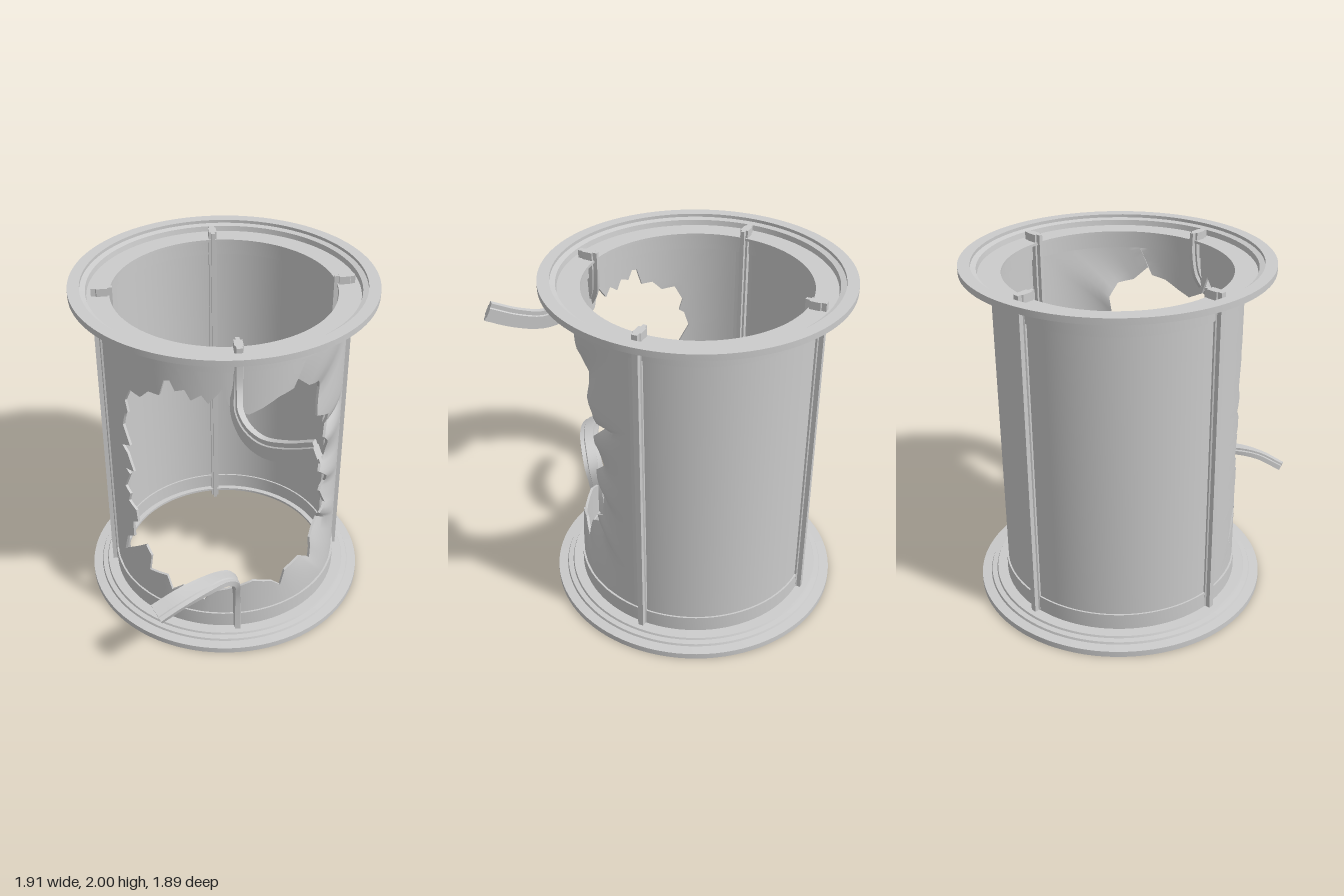
import * as THREE from 'three';
import { toCreasedNormals } from 'three/addons/utils/BufferGeometryUtils.js';

const material = new THREE.MeshStandardMaterial({ color: 0xcccccc, side: THREE.DoubleSide });
const AXIS = -0.11; // the drum axis sits at x = z = AXIS
const R = 0.68, WALL = 0.015;
const rad = THREE.MathUtils.degToRad;

function part(geometry, name, crease = 0.5) {
  const mesh = new THREE.Mesh(toCreasedNormals(geometry, crease), material);
  mesh.name = name;
  return mesh;
}

// Closed [radius, y] profile turned around the axis
function ring(profile, name, start = 0, sweepAngle = Math.PI * 2, segments = 96) {
  const pts = [...profile, profile[0]].map(([r, y]) => new THREE.Vector2(r, y));
  return part(new THREE.LatheGeometry(pts, segments, start, sweepAngle), name);
}

// Surface from a grid of points; columns may wrap round
function gridGeometry(rows, extra = []) {
  const n = rows[0].length, pos = [], idx = [...extra];
  rows.flat().forEach(p => pos.push(p.x, p.y, p.z));
  for (let j = 0; j < rows.length - 1; j++) {
    for (let i = 0; i < n; i++) {
      const a = j * n + i, b = j * n + (i + 1) % n;
      idx.push(a, a + n, b, b, a + n, b + n);
    }
  }
  const g = new THREE.BufferGeometry();
  g.setAttribute('position', new THREE.Float32BufferAttribute(pos, 3));
  g.setIndex(idx);
  return g;
}

// Rib section: [radial, tangential], with a thin web on the inside
const HALF = [[-0.055, 0.011], [-0.03, 0.011], [-0.03, 0.023], [0.03, 0.023], [0.035, 0.016], [0.06, 0.016]];
const SECTION = [...HALF, ...HALF.map(([u, v]) => [u, -v]).reverse()];

// Sweep the rib section along a path, with its wide direction given at each path point
function bar(path, wides, steps, name) {
  const curve = new THREE.CatmullRomCurve3(path);
  const wideCurve = new THREE.CatmullRomCurve3(wides);
  const rows = [];
  for (let s = 0; s <= steps; s++) {
    const c = curve.getPoint(s / steps), t = curve.getTangent(s / steps);
    const w = wideCurve.getPoint(s / steps).addScaledVector(t, -wideCurve.getPoint(s / steps).dot(t)).normalize();
    const v = new THREE.Vector3().crossVectors(t, w);
    const loop = SECTION.map(([a, b]) => c.clone().addScaledVector(w, a).addScaledVector(v, b));
    const centre = SECTION.map(() => c.clone());
    if (s === 0) rows.push(centre);
    rows.push(loop);
    if (s === steps) rows.push(centre);
  }
  return part(gridGeometry(rows), name, 0.6);
}

// Jagged outline of the hole, clockwise: [degrees from +z towards +x, height]
const HOLE = [
  [-26, .27], [-19, .5], [-12.7, .54], [-12.7, .65], [-8.5, .68], [-9.3, .76], [-15.4, .79], [-13.6, .85],
  [-18, .88], [-12.7, 1], [-16, 1.02], [-9.3, 1.04], [-13.6, 1.14], [-18, 1.17], [-11, 1.21], [-16, 1.32],
  [-13.6, 1.41], [-11, 1.43], [-12.7, 1.5], [-8.5, 1.59], [-1.7, 1.58], [3.4, 1.64], [9.3, 1.64], [11.9, 1.74],
  [16.2, 1.75], [17.1, 1.69], [21.6, 1.71], [24.3, 1.65], [29, 1.69], [32, 1.64], [38, 1.73], [41.4, 1.62],
  [49.7, 1.57], [56, 1.6], [63.8, 1.65], [71, 1.67], [73, 1.72], [80.7, 1.64], [89, 1.62], [94, 1.54],
  [91.7, 1.37], [101, 1.33], [101, 1.26], [109, 1.27], [100, 1.17], [104.5, 1.11], [106, 1], [99, .93],
  [104.5, .87], [108, .8], [103.6, .75], [106, .66], [100, .62], [102, .57], [91, .5], [89, .37], [80.7, .44],
  [70, .41], [67.5, .31], [62.9, .36], [53, .4], [46, .37], [33, .33], [29, .26], [18, .34], [11.9, .28],
  [9.3, .38], [-1.7, .36], [0, .48], [-3.4, .54], [-9.3, .46], [-19.8, .31],
];
const WIN = { a: 45, y: 1, da: 85, dy: 0.9 };

// Wall panel around the hole: outer skin, torn rim, inner skin
function tornWall() {
  const hole = HOLE.flatMap(([a, y], i) => {
    const [b, z] = HOLE[(i + 1) % HOLE.length];
    return [[a, y], [(a + b) / 2, (y + z) / 2]];
  });
  const frame = hole.map(([a, y]) => {
    const u = (a - WIN.a) / WIN.da, v = (y - WIN.y) / WIN.dy, m = Math.max(Math.abs(u), Math.abs(v));
    return [u / m, v / m];
  });
  for (const [cu, cv] of [[-1, -1], [-1, 1], [1, 1], [1, -1]]) {
    const d = frame.map(([u, v]) => Math.hypot(u - cu, v - cv));
    frame[d.indexOf(Math.min(...d))] = [cu, cv];
  }
  const row = (t, inset) => hole.map(([a, y], i) => {
    const fa = WIN.a + frame[i][0] * WIN.da, fy = WIN.y + frame[i][1] * WIN.dy;
    const deg = fa + (a - fa) * t, h = fy + (y - fy) * t;
    // the edge on the model's left is pushed inwards
    const dent = 0.055 * t * t * THREE.MathUtils.smoothstep(a, 65, 100) * (0.8 + 0.3 * Math.sin(i * 0.9));
    const r = R - inset - dent;
    return new THREE.Vector3(r * Math.sin(rad(deg)), h, r * Math.cos(rad(deg)));
  });
  const rows = [], N = 10;
  for (let j = 0; j <= N; j++) rows.push(row(j / N, 0));
  for (let j = N; j >= 0; j--) rows.push(row(j / N, WALL));
  return part(gridGeometry(rows), 'tornWall', 0.7);
}

// Dished end flange with its collar, at the bottom
function endCap(name) {
  const g = new THREE.Group();
  g.name = name;
  g.add(ring([[0.78, 0], [0.845, 0], [0.845, 0.035], [0.79, 0.04], [0.785, 0.052], [0.755, 0.055],
    [0.75, 0.066], [0.622, 0.07], [0.622, 0.055], [0.745, 0.055], [0.75, 0.025], [0.78, 0.018]], 'flange'));
  g.add(ring([[0.655, 0.06], [0.69, 0.06], [0.69, 0.163], [0.655, 0.163]], 'collar'));
  return g;
}

export function createModel() {
  const model = new THREE.Group();
  model.name = 'tornDrum';
  const drum = new THREE.Group();
  drum.name = 'drum';
  drum.position.set(AXIS, 0, AXIS);
  model.add(drum);

  const bottom = endCap('bottomCap'), top = endCap('topCap');
  top.rotation.x = Math.PI;
  top.position.y = 2;
  drum.add(bottom, top);

  // Whole part of the wall, then the torn panel
  const y0 = WIN.y - WIN.dy, y1 = WIN.y + WIN.dy;
  drum.add(ring([[R - WALL, y0], [R, y0], [R, y1], [R - WALL, y1]], 'wall',
    rad(WIN.a + WIN.da), rad(360 - 2 * WIN.da), 64));
  drum.add(tornWall());

  // Three straight ribs
  for (const deg of [135, 225, 315]) {
    const out = new THREE.Vector3(Math.sin(rad(deg)), 0, Math.cos(rad(deg)));
    const at = y => out.clone().multiplyScalar(0.66).setY(y);
    drum.add(bar([at(0.01), at(1.99)], [out, out], 1, 'rib'));
  }

  // The fourth rib is snapped and both halves are bent outwards
  const p = (x, y, z) => new THREE.Vector3(x - AXIS, y, z - AXIS);
  const d = (x, y, z) => new THREE.Vector3(x, y, z);
  drum.add(bar(
    [p(.357, 1.99, .357), p(.357, 1.86, .357), p(.365, 1.74, .375), p(.405, 1.64, .43), p(.5, 1.575, .475),
      p(.62, 1.545, .485), p(.78, 1.585, .48), p(.93, 1.655, .472)],
    [d(.7, 0, .7), d(.7, 0, .7), d(.72, .1, .6), d(.7, .6, .35), d(.4, .9, .1),
      d(.05, 1, 0), d(-.3, .95, 0), d(-.4, .92, 0)], 28, 'bentUpperRib'));
  drum.add(bar(
    [p(.357, .01, .357), p(.357, .2, .357), p(.362, .35, .37), p(.375, .47, .42), p(.37, .535, .51),
      p(.345, .555, .63), p(.295, .54, .78), p(.235, .49, .915)],
    [d(.7, 0, .7), d(.7, 0, .7), d(.72, 0, .65), d(.75, .1, .5), d(.85, .1, .4),
      d(.9, -.1, .4), d(.85, -.3, .4), d(.8, -.4, .45)], 28, 'bentLowerRib'));
  return model;
}
